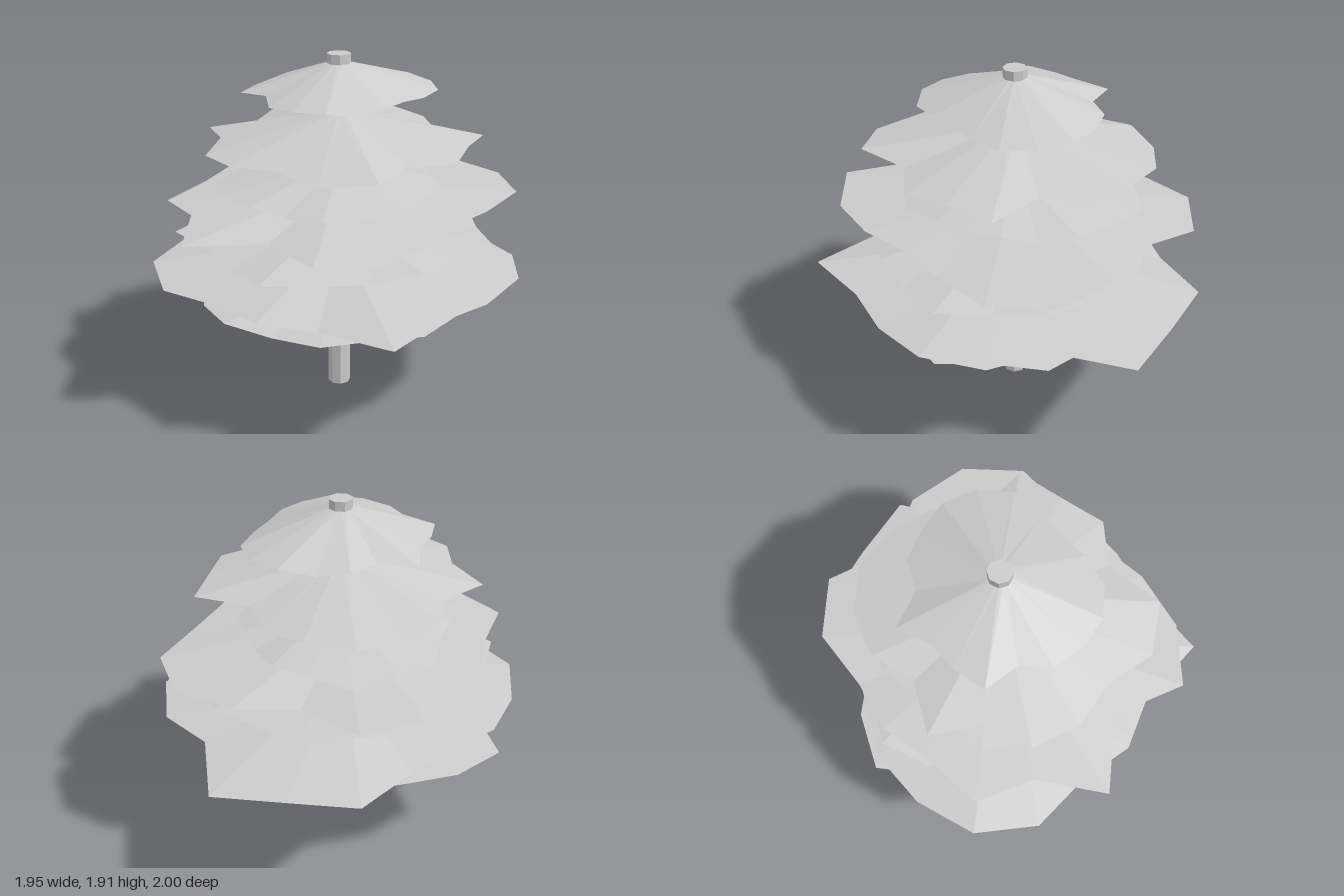
import * as THREE from 'three';

const CX = -0.02, CZ = 0.01; // trunk axis
const TRUNK_R = 0.063;
const SIDES = 18;

// Flat-faced skirt: a ring at the trunk above, a ragged rim, a ring at the trunk below.
// radii gives the rim in equal steps, from +x round towards the front.
function skirtGeometry(top, rim, under, radii) {
  const point = (ring, i) => {
    const k = i % SIDES;
    const a = (k / SIDES) * Math.PI * 2;
    const r = ring === 1 ? radii[k] : TRUNK_R * 0.95;
    const y = [top, rim + 0.01 * Math.sin(k * 2.3 + top * 9), under][ring];
    return [Math.cos(a) * r, y, Math.sin(a) * r];
  };
  const pos = [];
  for (let i = 0; i < SIDES; i++) {
    for (let ring = 0; ring < 2; ring++) {
      const a = point(ring, i), b = point(ring, i + 1);
      const c = point(ring + 1, i + 1), d = point(ring + 1, i);
      pos.push(...a, ...b, ...c, ...a, ...c, ...d);
    }
  }
  const geo = new THREE.BufferGeometry();
  geo.setAttribute('position', new THREE.Float32BufferAttribute(pos, 3));
  geo.computeVertexNormals();
  return geo;
}

export function createModel() {
  const tree = new THREE.Group();
  tree.name = 'pineTree';
  const grey = new THREE.MeshStandardMaterial({ color: 0xcccccc, flatShading: true, side: THREE.DoubleSide });
  grey.name = 'pale grey';

  const add = (name, geometry, y = 0) => {
    const mesh = new THREE.Mesh(geometry, grey);
    mesh.name = name;
    mesh.position.set(CX, y, CZ);
    tree.add(mesh);
    return mesh;
  };

  // Eight-sided trunk
  add('trunk', new THREE.CylinderGeometry(TRUNK_R, TRUNK_R, 1.91, 8), 0.955).rotation.y = Math.PI / 8;

  // Branch skirts from the ground up: top, rim and underside heights, then rim radii
  const addTier = (name, ...shape) => add(name, skirtGeometry(...shape));
  addTier('lowestBranches', 0.72, 0.63, 0.545,
    [0.86, 0.76, 0.78, 0.75, 0.79, 0.75, 0.8, 0.78, 0.74, 0.76, 0.93, 0.85, 0.75, 0.72, 0.8, 0.74, 0.82, 0.78]);
  addTier('widestBranches', 0.9, 0.76, 0.7,
    [0.99, 0.93, 0.91, 1.1, 0.86, 0.89, 0.85, 0.99, 1.02, 0.95, 0.89, 0.8, 0.82, 1.03, 1.02, 1.12, 0.86, 0.97]);
  addTier('lowerMiddleBranches', 1.06, 0.94, 0.88,
    [0.85, 0.76, 0.76, 0.72, 0.76, 0.85, 0.76, 0.74, 0.89, 0.78, 0.84, 0.74, 0.76, 0.72, 0.79, 0.74, 0.8, 0.76]);
  addTier('middleBranches', 1.22, 1.135, 1.06,
    [0.8, 0.74, 0.83, 0.94, 1, 0.75, 1.03, 0.82, 0.92, 0.78, 0.8, 0.79, 0.94, 0.97, 0.76, 0.91, 1, 0.97]);
  addTier('upperMiddleBranches', 1.33, 1.22, 1.185,
    [0.56, 0.53, 0.6, 0.58, 0.65, 0.61, 0.62, 0.64, 0.68, 0.58, 0.56, 0.66, 0.64, 0.7, 0.62, 0.6, 0.54, 0.52]);
  addTier('upperBranches', 1.6, 1.46, 1.385,
    [0.69, 0.72, 0.6, 0.8, 0.79, 0.66, 0.72, 0.73, 0.62, 0.74, 0.57, 0.68, 0.73, 0.75, 0.7, 0.66, 0.55, 0.77]);
  addTier('topBranches', 1.86, 1.715, 1.65,
    [0.45, 0.41, 0.44, 0.5, 0.51, 0.49, 0.47, 0.4, 0.51, 0.46, 0.43, 0.53, 0.4, 0.47, 0.49, 0.53, 0.54, 0.52]);
  return tree;
}
